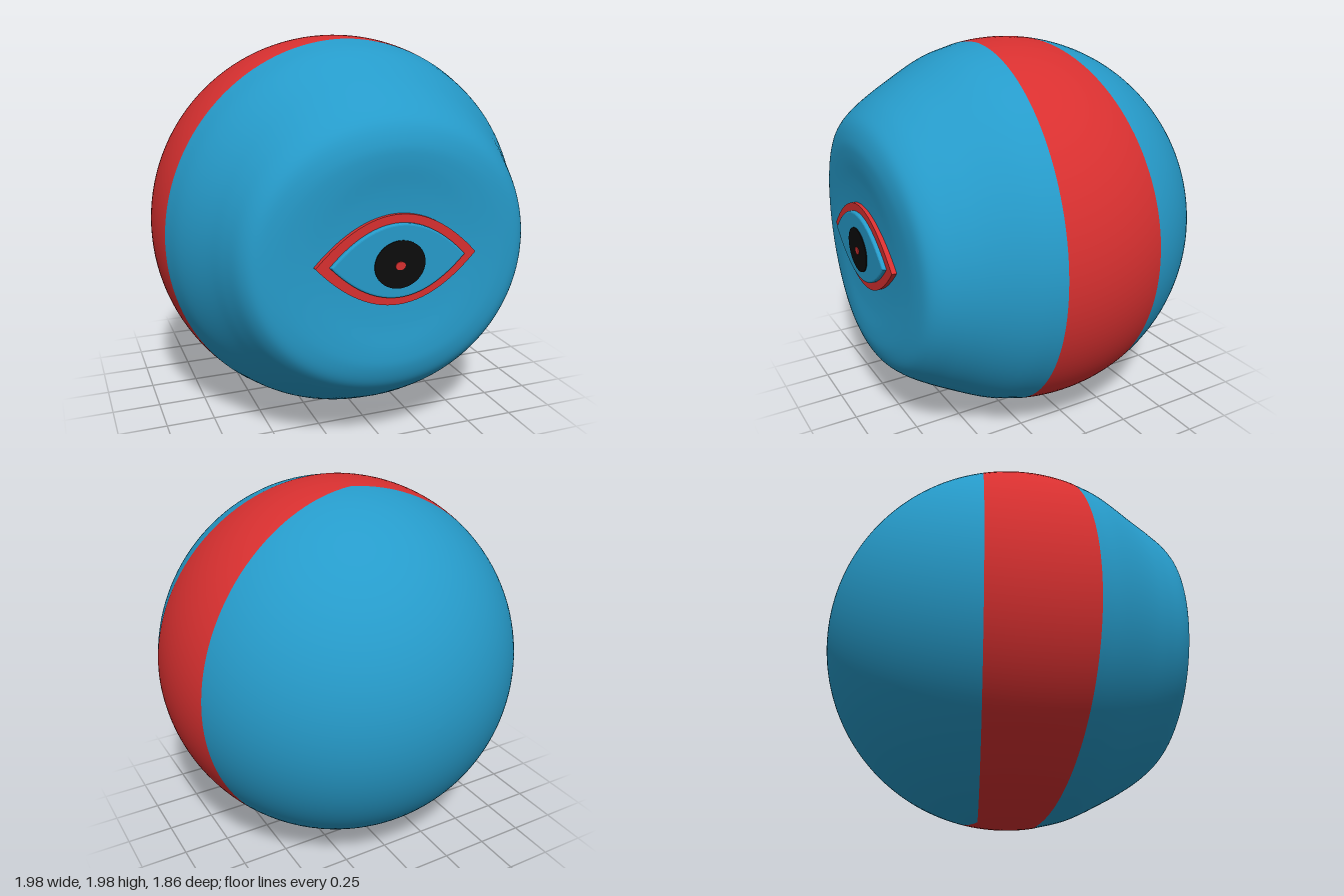
import * as THREE from 'three';

const blue = new THREE.MeshStandardMaterial({ name: 'blue', color: 0x269bca });
const red = new THREE.MeshStandardMaterial({ name: 'red', color: 0xd83030 });
const black = new THREE.MeshStandardMaterial({ name: 'black', color: 0x0c0c0c });

const R = 0.99, CZ = 0.055, CY = 1;

// Front profiles [radius, z]: sideways and upright, blended around the axis
const sideProfile = [[0.922, 0.4], [0.82, 0.6], [0.775, 0.7], [0.725, 0.8], [0.68, 0.842], [0.6, 0.863],
  [0.47, 0.873], [0.33, 0.875], [0.2, 0.875], [0, 0.875]];
const uprightProfile = [[0.928, 0.4], [0.828, 0.6], [0.77, 0.7], [0.70, 0.8], [0.63, 0.868], [0.54, 0.902],
  [0.46, 0.905], [0.33, 0.89], [0.2, 0.88], [0, 0.875]];

// Polar angle (from the back) where the sphere meets z = a + b|x|
function edgeAngle(a, b, c) {
  let z = a;
  for (let k = 0; k < 20; k++) z = a + b * c * Math.sqrt(R * R - (z - CZ) ** 2);
  return Math.acos((CZ - z) / R);
}

// Ball with a stripe and a pressed-in front, as one smooth surface
function makeBody() {
  const segs = 128, backRows = 40, stripeRows = 16, frontRows = 54;
  const rows = backRows + stripeRows + frontRows;
  const pos = new Float32Array((rows + 1) * segs * 3);
  const index = [];
  for (let j = 0; j < segs; j++) {
    const phi = (j / segs) * Math.PI * 2, c = Math.cos(phi), s = Math.sin(phi);
    const t1 = edgeAngle(-0.10, -0.19, Math.abs(c));
    const t2 = edgeAngle(0.22, 0.058, Math.abs(c));
    const onBall = t => new THREE.Vector3(R * Math.sin(t), CZ - R * Math.cos(t), 0);
    const blend = sideProfile.map((p, k) => new THREE.Vector3(
      THREE.MathUtils.lerp(p[0], uprightProfile[k][0], s * s),
      THREE.MathUtils.lerp(p[1], uprightProfile[k][1], s * s), 0));
    const front = new THREE.CatmullRomCurve3([onBall(t2), ...blend], false, 'centripetal');
    for (let i = 0; i <= rows; i++) {
      let p;
      if (i <= backRows) p = onBall(t1 * i / backRows);
      else if (i <= backRows + stripeRows) p = onBall(t1 + (t2 - t1) * (i - backRows) / stripeRows);
      else p = front.getPoint((i - backRows - stripeRows) / frontRows);
      pos.set([p.x * c, CY + p.x * s, p.y], (i * segs + j) * 3);
    }
  }
  for (let i = 0; i < rows; i++) {
    for (let j = 0; j < segs; j++) {
      const n = (j + 1) % segs;
      const a = i * segs + j, b = i * segs + n, d = a + segs, e = b + segs;
      index.push(a, b, e, a, e, d);
    }
  }
  const geo = new THREE.BufferGeometry();
  geo.setAttribute('position', new THREE.BufferAttribute(pos, 3));
  geo.setIndex(index);
  const perRow = segs * 6;
  geo.addGroup(0, backRows * perRow, 0);
  geo.addGroup(backRows * perRow, stripeRows * perRow, 1);
  geo.addGroup((backRows + stripeRows) * perRow, frontRows * perRow, 0);
  geo.computeVertexNormals();
  return geo;
}

// Almond outline, half width w and half height h
function almond(w, h, Kind = THREE.Shape) {
  const s = new Kind();
  s.moveTo(-w, 0);
  s.quadraticCurveTo(0, -2 * h, w, 0);
  s.quadraticCurveTo(0, 2 * h, -w, 0);
  return s;
}

export function createModel() {
  const group = new THREE.Group();
  const add = (name, geo, mat, y = 0, z = 0) => {
    const m = new THREE.Mesh(geo, mat);
    m.name = name;
    m.position.set(0, y, z);
    group.add(m);
    return m;
  };

  add('body', makeBody(), [blue, red]);

  // Eye: red rim, raised blue almond, pupil and glint
  const rim = almond(0.405, 0.218);
  rim.holes.push(almond(0.33, 0.17, THREE.Path));
  add('eyeRim', new THREE.ExtrudeGeometry(rim, { depth: 0.05, bevelEnabled: false, curveSegments: 32 }), red, CY, 0.85);
  add('eyeball', new THREE.ExtrudeGeometry(almond(0.325, 0.168), {
    depth: 0.055, curveSegments: 32, bevelThickness: 0.008, bevelSize: 0.01, bevelSegments: 3,
  }), blue, CY, 0.857);

  const disc = (name, rx, ry, mat, y, z) => {
    const geo = new THREE.CylinderGeometry(1, 1, 0.006, 48).rotateX(Math.PI / 2);
    add(name, geo, mat, y, z).scale.set(rx, ry, 1);
  };
  disc('pupil', 0.128, 0.115, black, 0.985, 0.922);
  disc('glint', 0.025, 0.02, red, 0.98, 0.926);

  return group;
}
